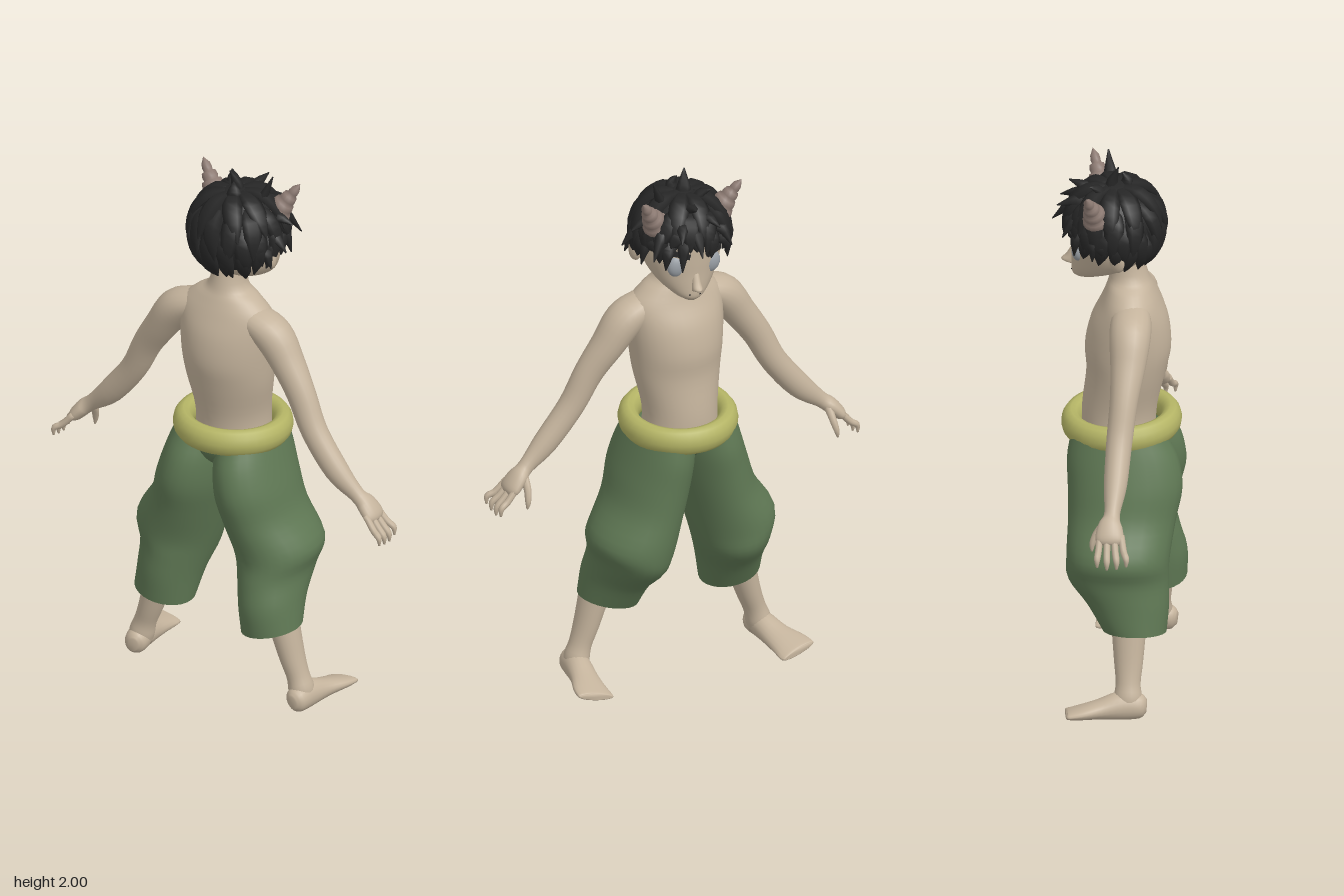
import * as THREE from 'three';

const V = (x, y, z) => new THREE.Vector3(x, y, z);
const mat = (color) => new THREE.MeshStandardMaterial({ color, side: THREE.DoubleSide });
const skin = mat(0xc4b39c), cloth = mat(0x5f7854), sash = mat(0xb4b465);
const hairMat = mat(0x262626), hornMat = mat(0x8c7a72), eyeMat = mat(0x9aa0a6);

// Smooth skin over rings [x, y, z, radius along ref, radius across].
function loft(rings, { ref = V(0, 0, 1), axis = null, sides = 20, steps = 4, cap = true } = {}) {
  const path = new THREE.CatmullRomCurve3(rings.map((r) => V(r[0], r[1], r[2])), false, 'catmullrom', 0.5);
  const size = new THREE.CatmullRomCurve3(rings.map((r) => V(r[3], r[4], 0)), false, 'catmullrom', 0.5);
  const n = (rings.length - 1) * steps, pos = [], idx = [];
  for (let i = 0; i <= n; i++) {
    const c = path.getPoint(i / n), s = size.getPoint(i / n);
    const t = axis ? axis.clone() : path.getTangent(i / n);
    const u = ref.clone().addScaledVector(t, -ref.dot(t)).normalize();
    const v = V(0, 0, 0).crossVectors(t, u).normalize();
    for (let j = 0; j < sides; j++) {
      const a = (j / sides) * Math.PI * 2;
      pos.push(...c.clone().addScaledVector(u, Math.cos(a) * s.x).addScaledVector(v, Math.sin(a) * s.y).toArray());
      const k = (j + 1) % sides, b = i * sides;
      if (i < n) idx.push(b + j, b + k, b + sides + j, b + k, b + sides + k, b + sides + j);
    }
  }
  if (cap) {
    const e = (n + 1) * sides, top = n * sides;
    pos.push(...path.getPoint(0).toArray(), ...path.getPoint(1).toArray());
    for (let j = 0; j < sides; j++) {
      const k = (j + 1) % sides;
      idx.push(e, k, j, e + 1, top + j, top + k);
    }
  }
  const g = new THREE.BufferGeometry();
  g.setAttribute('position', new THREE.Float32BufferAttribute(pos, 3));
  g.setIndex(idx);
  g.computeVertexNormals();
  return g;
}

function add(parent, name, geometry, material, at, scale) {
  const m = new THREE.Mesh(geometry, material);
  m.name = name;
  if (at) m.position.set(...at);
  if (scale) m.scale.set(...scale);
  parent.add(m);
  return m;
}

function buildLimbs(g, s) {
  const side = s < 0 ? 'left' : 'right';
  // arm: the +x arm swings further back
  const swing = (z, k) => z + (s > 0 ? 0.09 * k : 0);
  const arm = [
    [0.04, 1.485, 0.045, 0.05, 0.045, 0], [0.13, 1.462, 0.046, 0.07, 0.054, 0], [0.2, 1.42, 0.046, 0.073, 0.068, 0.02],
    [0.262, 1.335, 0.042, 0.062, 0.06, 0.15], [0.328, 1.235, 0.032, 0.05, 0.053, 0.45],
    [0.392, 1.11, 0.02, 0.046, 0.048, 0.75], [0.49, 0.985, 0.012, 0.041, 0.045, 0.95],
    [0.57, 0.912, 0.005, 0.028, 0.029, 1], [0.605, 0.883, 0, 0.043, 0.029, 1],
    [0.637, 0.847, 0, 0.05, 0.025, 1], [0.648, 0.829, 0, 0.034, 0.013, 1],
  ];
  add(g, side + 'Arm', loft(arm.map((r) => [s * r[0], r[1], swing(r[2], r[5]), r[3], r[4]])), skin);
  for (let i = 0; i < 4; i++) {
    const z = swing(-0.034 + i * 0.025, 1), tz = swing(-0.04 + i * 0.034, 1), y = 0.752 + Math.abs(i - 1.3) * 0.01;
    add(g, side + 'Finger', loft([[s * 0.63, 0.858, z, 0.012, 0.012], [s * 0.668, 0.815, (z + tz) / 2, 0.012, 0.012],
      [s * 0.695, y + 0.03, tz, 0.011, 0.011], [s * 0.698, y, tz, 0.004, 0.004]], { sides: 8 }), skin);
  }
  add(g, side + 'Thumb', loft([[s * 0.59, 0.895, swing(-0.01, 1), 0.018, 0.016], [s * 0.593, 0.85, swing(-0.045, 1), 0.014, 0.014],
    [s * 0.6, 0.81, swing(-0.062, 1), 0.011, 0.011], [s * 0.604, 0.782, swing(-0.064, 1), 0.004, 0.004]], { sides: 8 }), skin);

  // leg and foot: the +x leg stands further back
  const back = s > 0 ? 0.067 : 0, d = s > 0 ? 0.012 : 0;
  const place = (r) => [s * (r[0] + d), r[1], r[2] + back, r[3], r[4]];
  add(g, side + 'Leg', loft([[0.215, 0.5, 0.035, 0.06, 0.062], [0.258, 0.36, 0.045, 0.063, 0.056], [0.3, 0.21, 0.047, 0.052, 0.045],
    [0.327, 0.13, 0.047, 0.044, 0.04], [0.342, 0.08, 0.047, 0.05, 0.045], [0.348, 0.04, 0.045, 0.045, 0.04]].map(place)), skin);
  add(g, side + 'Foot', loft([[0.342, 0.048, 0.112, 0.018, 0.025], [0.345, 0.05, 0.09, 0.04, 0.045], [0.352, 0.054, 0.03, 0.046, 0.052],
    [0.365, 0.042, -0.05, 0.053, 0.036], [0.38, 0.034, -0.12, 0.067, 0.024], [0.384, 0.03, -0.16, 0.07, 0.016],
    [0.385, 0.03, -0.17, 0.06, 0.01]].map(place), { ref: V(1, s * 0.22, 0).normalize() }), skin);

  // baggy trouser leg, fullest at the knee and open at the hem
  const b = s > 0 ? 0.03 : 0;
  add(g, side + 'TrouserLeg', loft([[0.085, 0.985, 0, 0.17, 0.105], [0.1, 0.9, 0.015, 0.197, 0.118], [0.122, 0.8, 0.024, 0.202, 0.128],
    [0.152, 0.69, 0.015, 0.19, 0.132], [0.205, 0.565, 0.004, 0.182, 0.152], [0.208, 0.48, 0.006 + b * 0.6, 0.178, 0.13],
    [0.222, 0.39, 0.04 + b * 1.3, 0.145, 0.116], [0.236, 0.292, 0.065 + b * 1.5, 0.112, 0.11]]
    .map((r) => [s * (r[0] - (s > 0 ? 0.006 : 0)), ...r.slice(1)]),
    { axis: V(s * 0.2, -1, 0).normalize(), cap: false, sides: 28 }), cloth);
}

function buildHead(parent) {
  const g = new THREE.Group(), tilt = 0.085;
  g.name = 'head';
  // tipped about its own middle
  g.position.set(0.014 + 1.75 * Math.sin(tilt), 1.75 * (1 - Math.cos(tilt)), -0.006);
  g.rotation.set(0, -0.06, tilt);
  parent.add(g);
  add(g, 'face', loft([[0, 1.553, -0.125, 0.02, 0.02], [0, 1.572, -0.1, 0.06, 0.057], [0, 1.61, -0.053, 0.108, 0.1],
    [0, 1.66, -0.022, 0.138, 0.13], [0, 1.72, -0.015, 0.146, 0.146], [0, 1.8, -0.01, 0.148, 0.145],
    [0, 1.87, -0.01, 0.115, 0.11], [0, 1.9, -0.01, 0.03, 0.03]], { axis: V(0, 1, 0), sides: 28 }), skin);
  add(g, 'nose', loft([[0, 1.67, -0.145, 0.012, 0.012], [0, 1.63, -0.162, 0.018, 0.016], [0, 1.61, -0.172, 0.025, 0.018],
    [0, 1.598, -0.155, 0.012, 0.014]], { axis: V(0, 1, 0), sides: 12 }), skin);
  add(g, 'mouth', new THREE.BoxGeometry(0.045, 0.004, 0.012), hairMat, [0, 1.582, -0.153]);
  for (const s of [-1, 1]) {
    add(g, 'eye', new THREE.SphereGeometry(1, 20, 14), eyeMat, [s * 0.066, 1.692, -0.128], [0.037, 0.043, 0.024]);
    const brow = add(g, 'eyebrow', new THREE.BoxGeometry(0.07, 0.018, 0.015), hairMat, [s * 0.065, 1.742, -0.147]);
    brow.rotation.set(0, -s * 0.4, s * 0.2);
    const ear = add(g, 'ear', new THREE.SphereGeometry(1, 14, 10), skin, [s * 0.157, 1.7, 0.02], [0.014, 0.042, 0.03]);
    ear.rotation.y = s * 0.4;
  }
  buildHair(g);
}

function buildHair(head) {
  const g = new THREE.Group();
  g.name = 'hair';
  head.add(g);
  const rad = Math.PI / 180, C = V(0, 1.768, -0.005);
  // azimuth 0 is the forehead, 180 the nape
  const at = (az, el, r) => [C.x + r * Math.cos(el * rad) * Math.sin(az * rad), C.y + r * Math.sin(el * rad),
    C.z - r * Math.cos(el * rad) * Math.cos(az * rad)];
  const lock = (name, az, pts) => add(g, name, loft(pts, { ref: V(Math.cos(az * rad), 0, Math.sin(az * rad)), sides: 6, steps: 3 }), hairMat);
  const cap = add(g, 'hairCap', new THREE.SphereGeometry(0.162, 28, 16, 0, Math.PI * 2, 0, Math.PI * 0.58), hairMat, C.toArray());
  cap.rotation.x = 0.5;
  // overlapping locks in layers, short over the face and long at the nape
  for (const [count, start, drop, w] of [[9, 82, 75, 0.036], [13, 52, 68, 0.034], [16, 28, 75, 0.031], [18, 8, 65, 0.027]]) {
    for (let i = 0; i < count; i++) {
      const az = ((i + start / 100) / count) * 360, f = (1 - Math.cos(az * rad)) / 2;
      const limit = -1 - 49 * f + 10 * Math.sin(i * 2.4);
      const end = Math.max(start - drop, limit);
      if (start - end < 12) continue;
      const el = (k) => start + (end - start) * k, turn = 4 * Math.sin(i * 1.7);
      lock('hairLock', az, [[...at(az, start, 0.15), w * 0.5, 0.01], [...at(az, el(0.35), 0.17), w, 0.015],
        [...at(az + turn, el(0.7), 0.176), w * 0.85, 0.012], [...at(az + turn * 2, end, 0.183), 0.002, 0.002]]);
    }
  }
  // loose tufts: azimuth, elevation, reach, bend
  for (const [az, el, reach, bend] of [[20, 86, 0.232, 8], [75, 52, 0.26, 4], [-40, 68, 0.21, -8], [150, 72, 0.2, 9], [10, 52, 0.225, -10],
    [-15, 40, 0.225, -16], [25, 30, 0.23, -18], [5, 22, 0.225, -24], [-35, 22, 0.21, -22], [50, 20, 0.225, -30], [22, 10, 0.215, -30],
    [40, 0, 0.2, -24], [-45, 2, 0.195, -22], [80, 25, 0.22, -14], [95, 5, 0.22, -16], [70, -2, 0.205, -22], [110, -10, 0.21, -16],
    [-70, 5, 0.19, -25]]) {
    lock('hairTuft', az, [[...at(az, el, 0.14), 0.03, 0.022], [...at(az, el + bend * 0.2, 0.175), 0.024, 0.018],
      [...at(az, el + bend, reach), 0.002, 0.002]]);
  }
}

// ridged horn between two points
function buildHorn(g, name, from, to) {
  const dir = to.clone().sub(from), len = dir.length(), profile = [];
  for (let i = 0; i < 4; i++) {
    const r = 0.052 * (1 - i / 4.6);
    profile.push(new THREE.Vector2(r * 0.9, (len * i) / 4.7), new THREE.Vector2(r, (len * (i + 0.35)) / 4.7),
      new THREE.Vector2(r * 0.88, (len * (i + 0.9)) / 4.7));
  }
  profile.push(new THREE.Vector2(0, len));
  const horn = add(g, name, new THREE.LatheGeometry(profile, 16), hornMat, from.toArray());
  horn.quaternion.setFromUnitVectors(V(0, 1, 0), dir.normalize());
}

export function createModel() {
  const g = new THREE.Group();
  g.name = 'hornedBoy';
  // chest, waist and neck
  add(g, 'torso', loft([[0.004, 0.93, -0.005, 0.13, 0.14], [0.004, 1.06, -0.003, 0.132, 0.135], [0.004, 1.2, 0.02, 0.14, 0.16],
    [0.003, 1.3, 0.027, 0.152, 0.172], [0.003, 1.4, 0.032, 0.138, 0.18], [0.003, 1.48, 0.037, 0.105, 0.178],
    [0.003, 1.535, 0.035, 0.083, 0.125], [0.003, 1.575, 0.03, 0.07, 0.072], [0.005, 1.66, 0.015, 0.062, 0.06]],
    { axis: V(0, 1, 0), sides: 32 }), skin);
  for (const s of [-1, 1]) buildLimbs(g, s);
  // trouser seat and waistband
  add(g, 'trouserSeat', loft([[0, 0.865, 0.015, 0.06, 0.02], [0, 0.89, 0.015, 0.115, 0.05], [0, 0.935, 0.01, 0.155, 0.12], [0.002, 1.0, 0, 0.178, 0.18]],
    { axis: V(0, 1, 0), cap: false, sides: 32 }), cloth);
  const belt = add(g, 'waistband', new THREE.TorusGeometry(0.176, 0.037, 12, 40), sash, [0.006, 1.002, 0.004], [1, 1, 1.35]);
  belt.rotation.x = Math.PI / 2 - 0.05;
  buildHead(g);
  buildHorn(g, 'leftHorn', V(-0.108, 1.835, -0.075), V(-0.187, 1.955, -0.11));
  buildHorn(g, 'rightHorn', V(0.133, 1.835, -0.07), V(0.213, 1.96, -0.11));
  return g;
}
